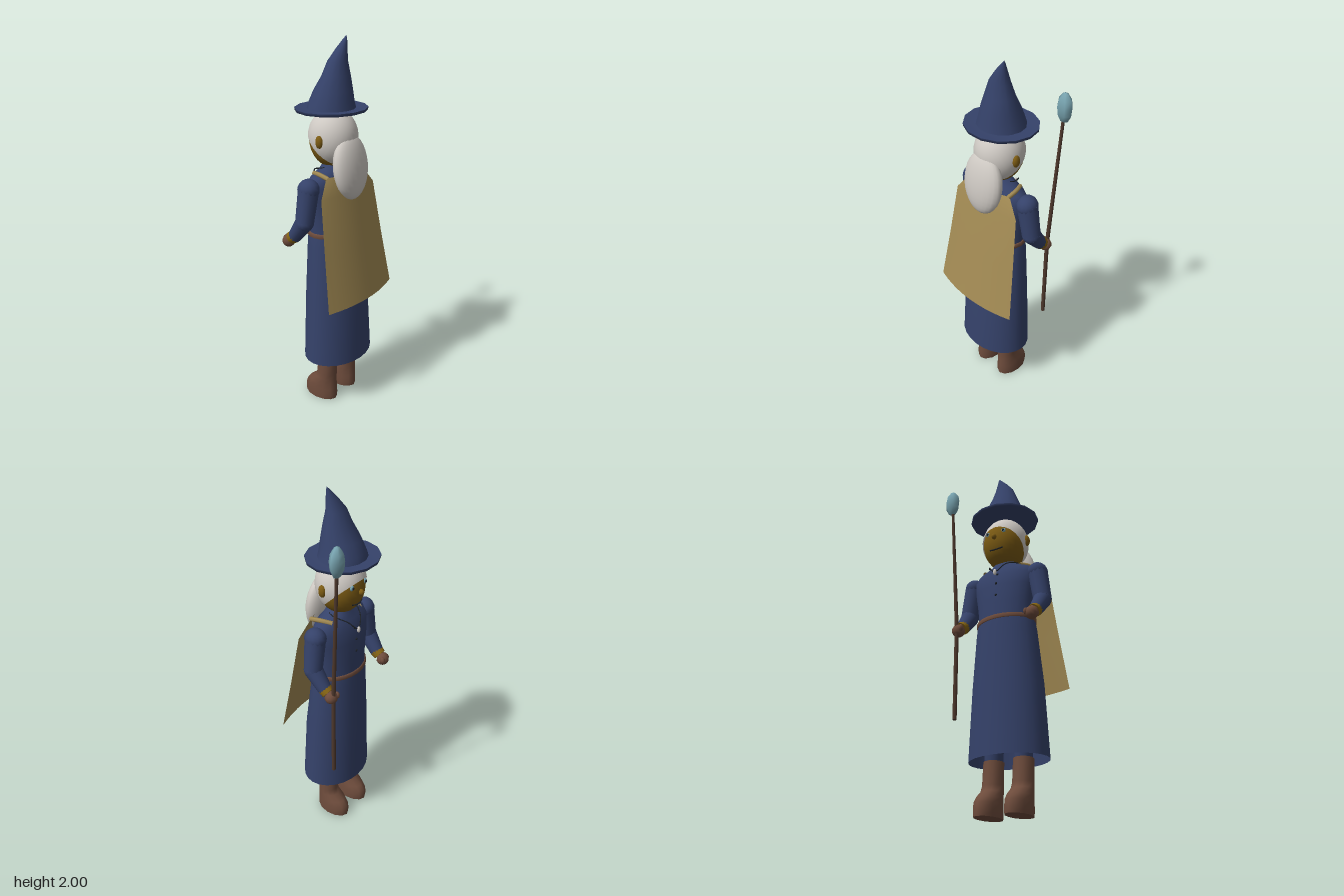
import * as THREE from 'three';

const mat = (color) => new THREE.MeshStandardMaterial({ color, side: THREE.DoubleSide });
const M = {
  robe: mat(0x35426a), cape: mat(0xa38b54), skin: mat(0x7d5c14), brown: mat(0x6e4c3c),
  hair: mat(0xcfcac4), gem: mat(0x78a4b0), gold: mat(0x856414), wood: mat(0x4e382c), dark: mat(0x1f242a),
};

// Surface through elliptical rings [y, centreX, centreZ, radiusX, radiusZ]; a repeated ring makes a sharp edge.
function loft(rings, sides = 20) {
  const pos = [], idx = [];
  rings.forEach(([y, cx, cz, rx, rz], r) => {
    for (let i = 0; i < sides; i++) {
      const t = (i / sides) * Math.PI * 2;
      pos.push(cx + rx * Math.cos(t), y, cz + rz * Math.sin(t));
      if (r < rings.length - 1) {
        const a = r * sides + i, b = r * sides + (i + 1) % sides;
        idx.push(a, a + sides, b, b, a + sides, b + sides);
      }
    }
  });
  const g = new THREE.BufferGeometry();
  g.setAttribute('position', new THREE.Float32BufferAttribute(pos, 3));
  g.setIndex(idx);
  g.computeVertexNormals();
  return g;
}

function add(parent, name, geo, material, x = 0, y = 0, z = 0) {
  const m = new THREE.Mesh(geo, material);
  m.name = name;
  m.position.set(x, y, z);
  parent.add(m);
  return m;
}

function ball(parent, name, material, p, r, seg = 14) {
  const m = add(parent, name, new THREE.SphereGeometry(1, seg, Math.ceil(seg * 0.7)), material, ...p);
  m.scale.set(...r);
  return m;
}

// Tapered rod between two points
function rod(parent, name, material, a, b, ra, rb, sides = 14) {
  const A = new THREE.Vector3(...a), B = new THREE.Vector3(...b), d = B.clone().sub(A);
  const m = add(parent, name, new THREE.CylinderGeometry(rb, ra, d.length(), sides), material);
  m.position.copy(A).add(B).multiplyScalar(0.5);
  m.quaternion.setFromUnitVectors(new THREE.Vector3(0, 1, 0), d.normalize());
  return m;
}

export function createModel() {
  const root = new THREE.Group();
  root.name = 'wizard';
  const body = new THREE.Group();
  body.name = 'body';
  body.position.x = -0.0125;
  root.add(body);

  // Robe: open skirt, torso and belt
  add(body, 'skirt', loft([
    [0.275, 0, 0.018, 0.215, 0.163], [0.65, 0, 0.012, 0.197, 0.148],
    [0.95, 0, -0.002, 0.172, 0.124], [1.01, 0, -0.005, 0.163, 0.118],
  ], 24), M.robe);
  add(body, 'torso', loft([
    [1.0, 0, -0.005, 0.16, 0.116], [1.1, 0, -0.01, 0.162, 0.108], [1.2, 0, -0.012, 0.178, 0.104],
    [1.27, 0, -0.008, 0.19, 0.096], [1.315, 0, -0.005, 0.17, 0.08],
    [1.345, 0, -0.005, 0.1, 0.065], [1.375, 0, -0.005, 0.06, 0.055],
  ], 24), M.robe);
  add(body, 'belt', loft([
    [0.998, 0, -0.005, 0.164, 0.119], [1.0, 0, -0.005, 0.17, 0.125],
    [1.02, 0, -0.005, 0.169, 0.124], [1.022, 0, -0.005, 0.162, 0.117],
  ], 24), M.brown);
  for (const y of [1.14, 1.21, 1.27]) ball(body, 'button', M.dark, [0, y, y > 1.25 ? -0.103 : -0.117], [0.007, 0.007, 0.005], 8);

  for (const s of [-1, 1]) {
    // Legs and boots
    add(body, 'leg', loft([[0.25, s * 0.085, 0.015, 0.045, 0.045], [0.5, s * 0.08, 0.01, 0.055, 0.06]], 12), M.robe);
    const x = s * 0.085;
    add(body, 'boot', loft([
      [0, x, -0.032, 0, 0], [0, x, -0.032, 0.06, 0.101], [0, x, -0.032, 0.06, 0.101],
      [0.025, x, -0.032, 0.062, 0.103], [0.065, x, -0.031, 0.061, 0.1], [0.095, x, -0.021, 0.059, 0.087],
      [0.13, x, 0, 0.055, 0.064], [0.16, x, 0.008, 0.053, 0.057], [0.28, x, 0.014, 0.051, 0.055],
      [0.28, x, 0.014, 0.051, 0.055], [0.28, x, 0.014, 0, 0],
    ], 12), M.brown);

    // Arms with cuffs and fists
    const shoulder = [s * 0.198, 1.27, -0.012], elbow = [s * 0.226, 1.1, -0.018], wrist = [s * 0.222, 1.005, -0.092];
    ball(body, 'shoulder', M.robe, shoulder, [0.055, 0.055, 0.058]);
    rod(body, 'upperArm', M.robe, shoulder, elbow, 0.055, 0.049);
    ball(body, 'elbow', M.robe, elbow, [0.049, 0.049, 0.049]);
    rod(body, 'forearm', M.robe, elbow, wrist, 0.049, 0.036);
    rod(body, 'cuff', M.gold, [s * 0.222, 1.012, -0.086], [s * 0.222, 0.993, -0.112], 0.037, 0.034);
    ball(body, 'hand', M.brown, [s * 0.222, 0.975, -0.132], [0.037, 0.036, 0.034], 10);
    ball(body, 'thumb', M.brown, [s * 0.196, 0.982, -0.148], [0.013, 0.02, 0.016], 8);

    // Face details and cape strap
    ball(body, 'ear', M.skin, [s * 0.127, 1.5, 0], [0.017, 0.033, 0.022], 10);
    ball(body, 'eye', M.gem, [s * 0.05, 1.525, -0.122], [0.013, 0.014, 0.009], 10);
    ball(body, 'pupil', M.dark, [s * 0.05, 1.525, -0.129], [0.007, 0.008, 0.005], 8);
    const strap = new THREE.CatmullRomCurve3([[0.14, 1.325, 0.068], [0.138, 1.337, 0.01], [0.11, 1.328, -0.05]]
      .map(([a, b, c]) => new THREE.Vector3(s * a, b, c)));
    add(body, 'capeStrap', new THREE.TubeGeometry(strap, 8, 0.012, 6), M.cape);
  }

  // Head, nose and mouth
  ball(body, 'head', M.skin, [0, 1.495, -0.014], [0.123, 0.15, 0.123], 22);
  ball(body, 'nose', M.skin, [0, 1.49, -0.14], [0.014, 0.016, 0.016], 10);
  const smile = new THREE.CatmullRomCurve3([-0.04, -0.02, 0, 0.02, 0.04].map(
    (x) => new THREE.Vector3(x, 1.418 + x * x * 5, -0.122 + x * x * 5)));
  add(body, 'mouth', new THREE.TubeGeometry(smile, 10, 0.004, 5), M.dark);

  // Hair: tilted cap and a long rounded fall down the back
  const capGeo = new THREE.SphereGeometry(1, 24, 14, 0, Math.PI * 2, 0, 1.92).rotateX(0.7);
  const hairCap = add(body, 'hairCap', capGeo, M.hair, 0, 1.5, -0.014);
  hairCap.scale.set(0.13, 0.152, 0.13);
  const fall = ball(body, 'longHair', M.hair, [0, 1.365, 0.1], [0.123, 0.17, 0.058], 22);
  fall.rotation.x = -0.12;

  // Hat: brim and leaning cone
  add(body, 'hatBrim', loft([
    [1.635, 0, -0.025, 0, 0], [1.632, 0, -0.025, 0.13, 0.12], [1.64, 0, -0.025, 0.192, 0.179],
    [1.654, 0, -0.025, 0.194, 0.181], [1.654, 0, -0.025, 0.194, 0.181],
    [1.65, 0, -0.025, 0.13, 0.12], [1.65, 0, -0.025, 0, 0],
  ], 14), M.robe);
  add(body, 'hatCone', loft([
    [1.645, 0, -0.025, 0.13, 0.122], [1.68, 0, -0.024, 0.12, 0.113], [1.74, 0.004, -0.016, 0.104, 0.095],
    [1.81, 0.012, -0.004, 0.081, 0.067], [1.88, 0.016, 0.002, 0.057, 0.047],
    [1.94, 0.037, 0.011, 0.031, 0.026], [1.98, 0.054, 0.017, 0.011, 0.011], [2.0, 0.062, 0.02, 0, 0],
  ], 14), M.robe);

  // Cape: curved sheet, narrow at the neck and flared at the hem
  const rows = [[1.33, 0.145, 0.09, 0.06], [1.235, 0.215, 0.115, 0.085],
    [0.95, 0.241, 0.165, 0.128], [0.655, 0.27, 0.22, 0.176]]; // y, half width, z at middle, z at edge
  const cape = new THREE.PlaneGeometry(2, 1, 10, rows.length - 1);
  const p = cape.attributes.position;
  for (let i = 0; i < p.count; i++) {
    const u = p.getX(i), [y, w, zm, ze] = rows[Math.floor(i / 11)];
    p.setXYZ(i, u * w, y, zm + (ze - zm) * u * u);
  }
  cape.computeVertexNormals();
  add(body, 'cape', cape, M.cape);

  // Necklace with a bead pendant
  const cord = new THREE.CatmullRomCurve3([[0, 1.275, -0.125], [0.05, 1.325, -0.1], [0.085, 1.355, -0.02],
    [0, 1.365, 0.065], [-0.085, 1.355, -0.02], [-0.05, 1.325, -0.1]].map((a) => new THREE.Vector3(...a)), true);
  add(body, 'necklaceCord', new THREE.TubeGeometry(cord, 30, 0.003, 5, true), M.dark);
  ball(body, 'pendant', M.hair, [0, 1.272, -0.13], [0.01, 0.018, 0.009], 8);

  // Staff with a faceted crystal
  rod(root, 'staffLower', M.wood, [0.208, 0.48, -0.145], [0.211, 0.98, -0.147], 0.011, 0.011, 8);
  rod(root, 'staffUpper', M.wood, [0.211, 0.98, -0.147], [0.235, 1.7, -0.188], 0.011, 0.008, 8);
  add(root, 'crystal', loft([
    [1.688, 0, 0, 0, 0], [1.695, 0, 0, 0.022, 0.016], [1.73, 0, 0, 0.041, 0.03], [1.77, 0, 0, 0.045, 0.033],
    [1.805, 0, 0, 0.038, 0.028], [1.835, 0, 0, 0.015, 0.012], [1.84, 0, 0, 0, 0],
  ], 6), M.gem, 0.237, 0, -0.191);

  return root;
}
